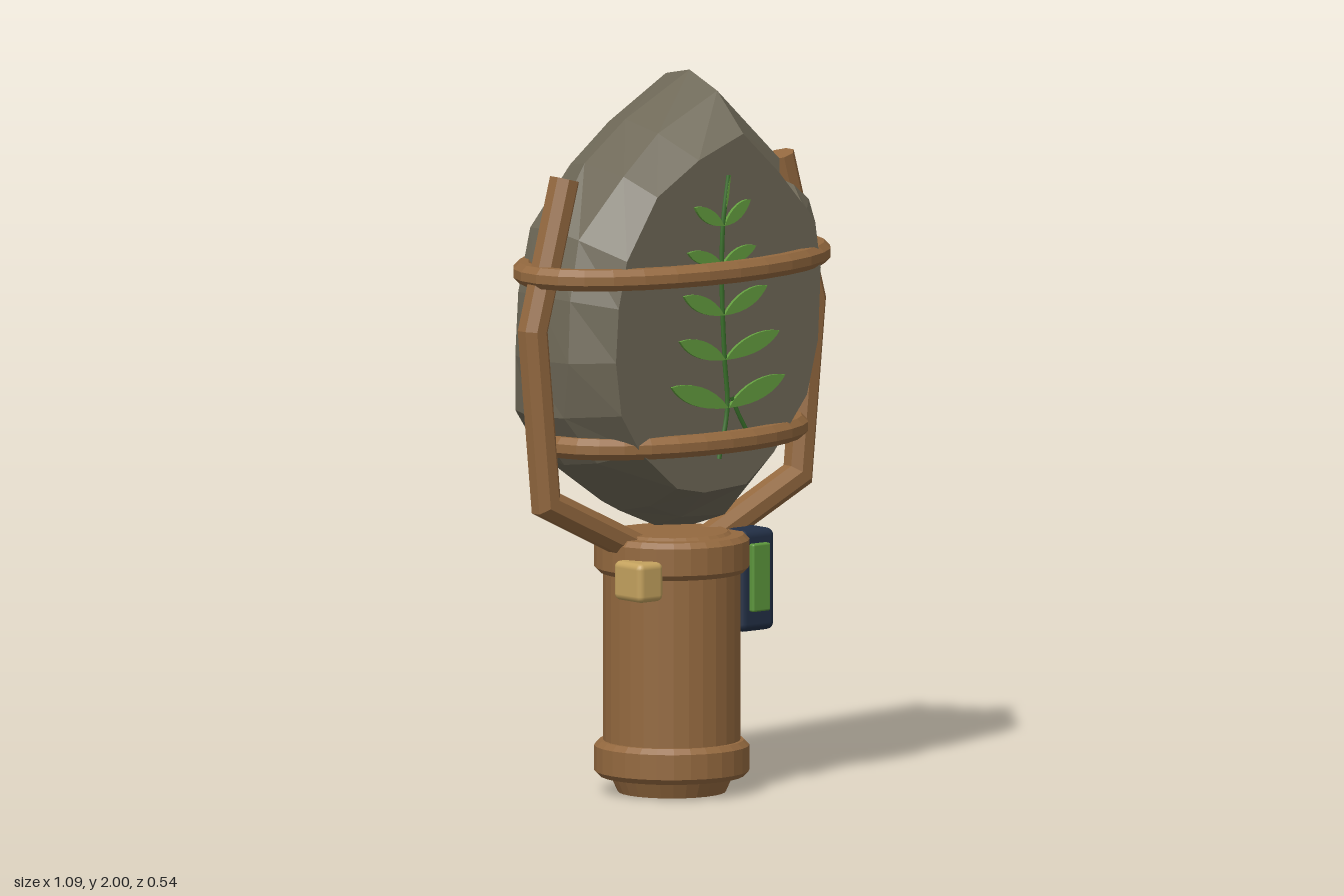
import * as THREE from 'three';
import { RoundedBoxGeometry } from 'three/addons/geometries/RoundedBoxGeometry.js';

const V = (x, y, z) => new THREE.Vector3(x, y, z);

// Faceted normals
function facet(geometry) {
  const g = geometry.index ? geometry.toNonIndexed() : geometry;
  g.computeVertexNormals();
  return g;
}

// Closed solid through equal-length loops of points, capped at both ends
function loft(rings) {
  const pos = [];
  const tri = (...pts) => pts.forEach(p => pos.push(p.x, p.y, p.z));
  const n = rings[0].length;
  const centre = r => r.reduce((s, p) => s.add(p), V(0, 0, 0)).divideScalar(n);
  const first = rings[0], last = rings[rings.length - 1];
  const c0 = centre(first), c1 = centre(last);
  for (let j = 0; j < n; j++) {
    const k = (j + 1) % n;
    for (let i = 0; i + 1 < rings.length; i++) {
      const a = rings[i], b = rings[i + 1];
      tri(a[j], a[k], b[k]);
      tri(a[j], b[k], b[j]);
    }
    tri(c0, first[k], first[j]);
    tri(c1, last[j], last[k]);
  }
  const g = new THREE.BufferGeometry();
  g.setAttribute('position', new THREE.Float32BufferAttribute(pos, 3));
  return facet(g);
}

// Bar with mitred corners along a flat path; n is the normal of the path's plane
function bar(path, n, radius, sides = 8) {
  const rings = path.map((p, i) => {
    const before = p.clone().sub(path[Math.max(i - 1, 0)]).normalize();
    const after = path[Math.min(i + 1, path.length - 1)].clone().sub(p).normalize();
    const t = before.clone().add(after).normalize();
    const stretch = 1 / Math.max(before.dot(t), after.dot(t));
    const u = n.clone().cross(t);
    return Array.from({ length: sides }, (_, j) => {
      const a = (j + 0.5) / sides * Math.PI * 2;
      return p.clone().addScaledVector(u, Math.cos(a) * radius * stretch)
        .addScaledVector(n, Math.sin(a) * radius);
    });
  });
  return loft(rings);
}

export function createModel() {
  const group = new THREE.Group();
  const mat = (name, color) => {
    const m = new THREE.MeshStandardMaterial({ color });
    m.name = name;
    return m;
  };
  const wood = mat('wood brown', 0x94693f);
  const stone = mat('stone grey', 0x6d6756);
  const navy = mat('navy', 0x222f45);
  const screenGreen = mat('screen green', 0x5c963c);
  const leafGreen = mat('leaf green', 0x629c3e);
  const stemGreen = mat('stem green', 0x39702a);
  const tan = mat('tan', 0xc4a25e);
  const add = (name, geometry, material, x = 0, y = 0, z = 0) => {
    const m = new THREE.Mesh(geometry, material);
    m.name = name;
    m.position.set(x, y, z);
    group.add(m);
    return m;
  };
  const zc = -0.025;

  // Handle with a collar at each end
  const profile = [
    [0, 0], [0.15, 0], [0.17, 0.045], [0.2, 0.045], [0.215, 0.06], [0.215, 0.13], [0.2, 0.145],
    [0.19, 0.145], [0.19, 0.615], [0.2, 0.615], [0.215, 0.63], [0.215, 0.705], [0.2, 0.72],
    [0.165, 0.72], [0.155, 0.728], [0, 0.728],
  ].map(([x, y]) => new THREE.Vector2(x, y));
  add('handle', facet(new THREE.LatheGeometry(profile, 28)), wood, 0, 0, zc);

  // Stone slab: each row is a front face corner, then the matching outline corner
  const corners = [
    [0.09, 1.85, 0.11, 2.0], [0.22, 1.73, 0.35, 1.755], [0.30, 1.64, 0.31, 1.67],
    [0.32, 1.62, 0.39, 1.69], [0.35, 1.58, 0.46, 1.64], [0.37, 1.45, 0.45, 1.45],
    [0.36, 1.25, 0.44, 1.22], [0.32, 1.10, 0.40, 1.08], [0.20, 0.95, 0.29, 0.90],
    [0.10, 0.87, 0.12, 0.73], [-0.05, 0.86, 0.0, 0.735], [-0.15, 0.88, -0.14, 0.79],
    [-0.28, 0.99, -0.36, 0.94], [-0.35, 1.10, -0.46, 1.08], [-0.37, 1.25, -0.47, 1.24],
    [-0.36, 1.40, -0.45, 1.42], [-0.33, 1.53, -0.40, 1.60], [-0.22, 1.70, -0.26, 1.77],
    [-0.07, 1.79, -0.11, 1.88],
  ];
  const mix = THREE.MathUtils.lerp;
  add('stone', loft([
    corners.map(([x, y]) => V(x, y, 0.175)),
    corners.map(([x, y, ox, oy], i) => V(mix(x, ox, 0.75), mix(y, oy, 0.7), 0.045 + 0.02 * Math.sin(i * 2.3))),
    corners.map(([, , ox, oy], i) => V(ox, oy, -0.08 + 0.02 * Math.sin(i * 1.7))),
    corners.map(([, , ox, oy], i) => V(ox * 0.95, 1.35 + (oy - 1.35) * 0.97, -0.175 + 0.008 * Math.sin(i * 1.9))),
  ]), stone);

  // Bent side prongs
  for (const s of [1, -1]) {
    const path = [[0.13, 0.69], [0.455, 0.845], [0.503, 1.33], [0.388, 1.745]]
      .map(([x, y]) => V(s * x, y, zc));
    add(s > 0 ? 'leftProng' : 'rightProng', bar(path, V(0, 0, 1), 0.043), wood);
  }

  // Hoops, open at the back
  for (const [name, y, a, b] of [['upperHoop', 1.48, 0.488, 0.267], ['lowerHoop', 1.0, 0.41, 0.235]]) {
    const path = Array.from({ length: 25 }, (_, i) => {
      const t = THREE.MathUtils.degToRad(-55 + 290 * i / 24);
      return V(a * Math.cos(t), y, zc + b * Math.sin(t));
    });
    add(name, bar(path, V(0, 1, 0), 0.032), wood);
  }

  // Device with a screen, and a small knob on the other side
  add('device', new RoundedBoxGeometry(0.125, 0.285, 0.16, 2, 0.022), navy, 0.223, 0.58, 0.005);
  add('deviceScreen', new RoundedBoxGeometry(0.064, 0.19, 0.03, 2, 0.006), screenGreen, 0.22, 0.59, 0.087);
  add('knob', new RoundedBoxGeometry(0.09, 0.11, 0.12, 2, 0.018), tan, -0.196, 0.615, 0.065);

  // Plant stem and side shoot on the stone's front
  const stem = (name, pts, r) => {
    const curve = new THREE.CatmullRomCurve3(pts.map(([x, y]) => V(x, y, 0.177)));
    add(name, new THREE.TubeGeometry(curve, 24, r, 6), stemGreen);
  };
  stem('stem', [[0, 0.95], [0.03, 1.09], [0.02, 1.23], [0.01, 1.45], [0.015, 1.61], [0.035, 1.74]], 0.007);
  stem('sideShoot', [[0.1, 1.02], [0.07, 1.07], [0.045, 1.12]], 0.006);

  // Leaf pairs: base x, base y, then left and right tips
  const leaf = (name, bx, by, tx, ty, w) => {
    const dx = tx - bx, dy = ty - by;
    const s = new THREE.Shape();
    s.moveTo(bx, by);
    s.bezierCurveTo(bx + dx * 0.25, by + dy * 0.35 + w, bx + dx * 0.7, by + dy * 0.8 + w * 0.7, tx, ty);
    s.bezierCurveTo(bx + dx * 0.85, by + dy * 0.6 - w * 0.3, bx + dx * 0.55, by + dy * 0.1 - w * 0.2, bx, by);
    add(name, new THREE.ExtrudeGeometry(s, { depth: 0.009, bevelEnabled: false, curveSegments: 8 }), leafGreen, 0, 0, 0.175);
  };
  const pairs = [
    [0.03, 1.09, -0.175, 1.165, 0.235, 1.165, 0.04], [0.02, 1.225, -0.145, 1.29, 0.215, 1.29, 0.037],
    [0.015, 1.35, -0.13, 1.415, 0.17, 1.42, 0.034], [0.01, 1.49, -0.115, 1.535, 0.13, 1.535, 0.03],
    [0.015, 1.6, -0.09, 1.66, 0.11, 1.665, 0.028],
  ];
  for (const [x, y, lx, ly, rx, ry, w] of pairs) {
    leaf('leaf', x, y, lx, ly, w);
    leaf('leaf', x, y, rx, ry, w);
  }
  leaf('leafTip', 0.02, 1.65, 0.037, 1.74, 0.012);
  return group;
}
